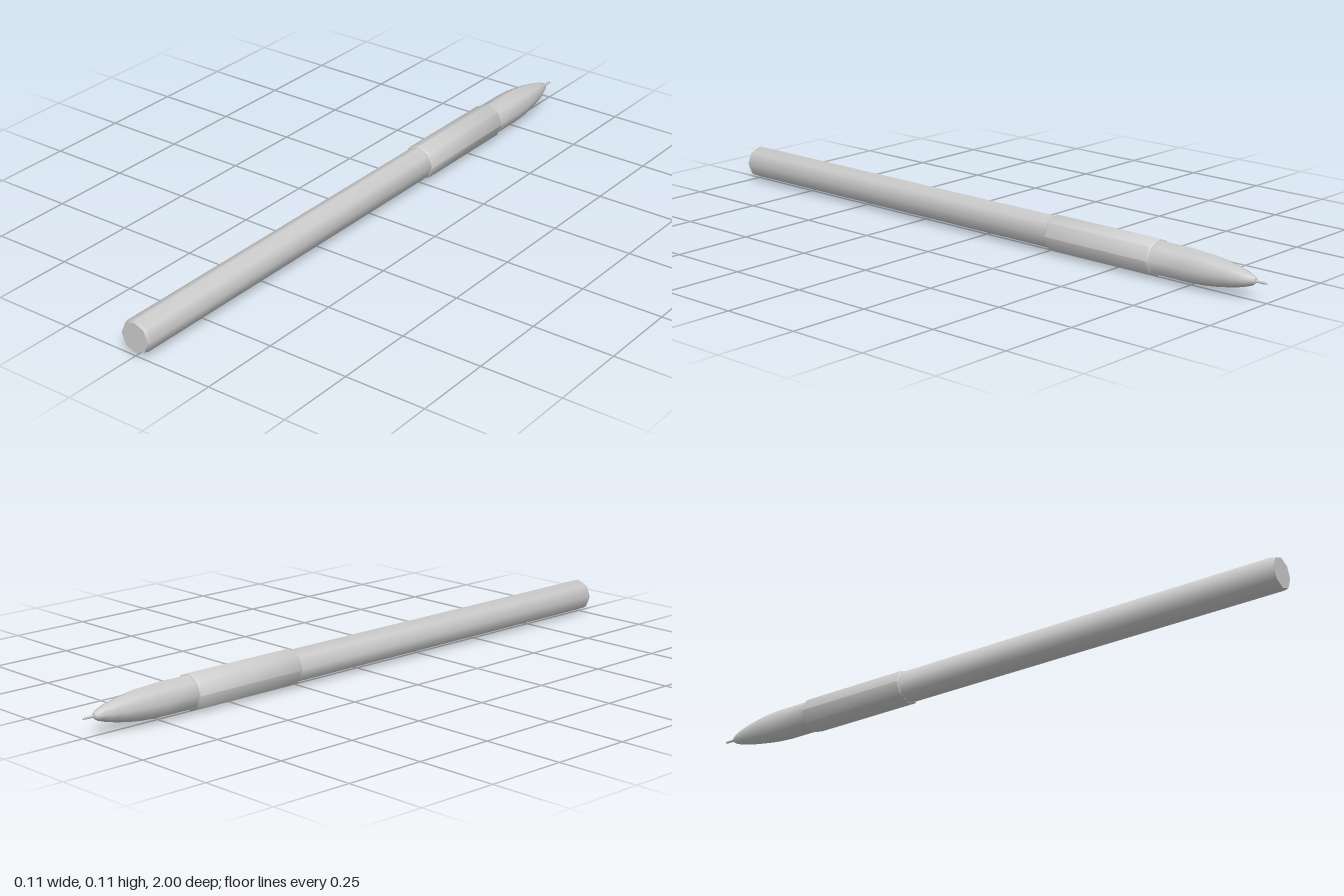
import * as THREE from 'three';
import { toCreasedNormals } from 'three/addons/utils/BufferGeometryUtils.js';

const AXIS_HEIGHT = 0.055;
const SIDES = 8;

export function createModel() {
  const pen = new THREE.Group();
  pen.name = 'pen';
  const material = new THREE.MeshStandardMaterial({ color: 0xcccccc });

  // Eight-sided turned part along z; profile is [radius, z] with z ascending
  function turned(name, profile) {
    const points = profile.map(([r, z]) => new THREE.Vector2(r, z));
    const lathe = new THREE.LatheGeometry(points, SIDES).rotateX(Math.PI / 2);
    const mesh = new THREE.Mesh(toCreasedNormals(lathe, 0.87), material);
    mesh.name = name;
    mesh.position.y = AXIS_HEIGHT;
    pen.add(mesh);
  }

  // Long barrel with a bevelled, flat end
  turned('barrel', [[0, -0.28], [0.05, -0.28], [0.05, 0.988], [0.046, 1], [0, 1]]);

  // Grip sleeve, slightly wider than the barrel, with bevelled rims
  turned('grip', [
    [0, -0.64], [0.051, -0.64], [0.0548, -0.635],
    [0.0548, -0.27], [0.051, -0.265], [0, -0.265],
  ]);

  // Rounded nose that tapers to a small opening
  turned('nose', [
    [0, -0.963], [0.008, -0.963], [0.016, -0.95], [0.026, -0.92], [0.035, -0.88],
    [0.042, -0.84], [0.047, -0.80], [0.05, -0.75], [0.05, -0.63], [0, -0.63],
  ]);

  // Fine writing point
  turned('tip', [[0, -1], [0.003, -0.998], [0.004, -0.99], [0.004, -0.955]]);

  return pen;
}
